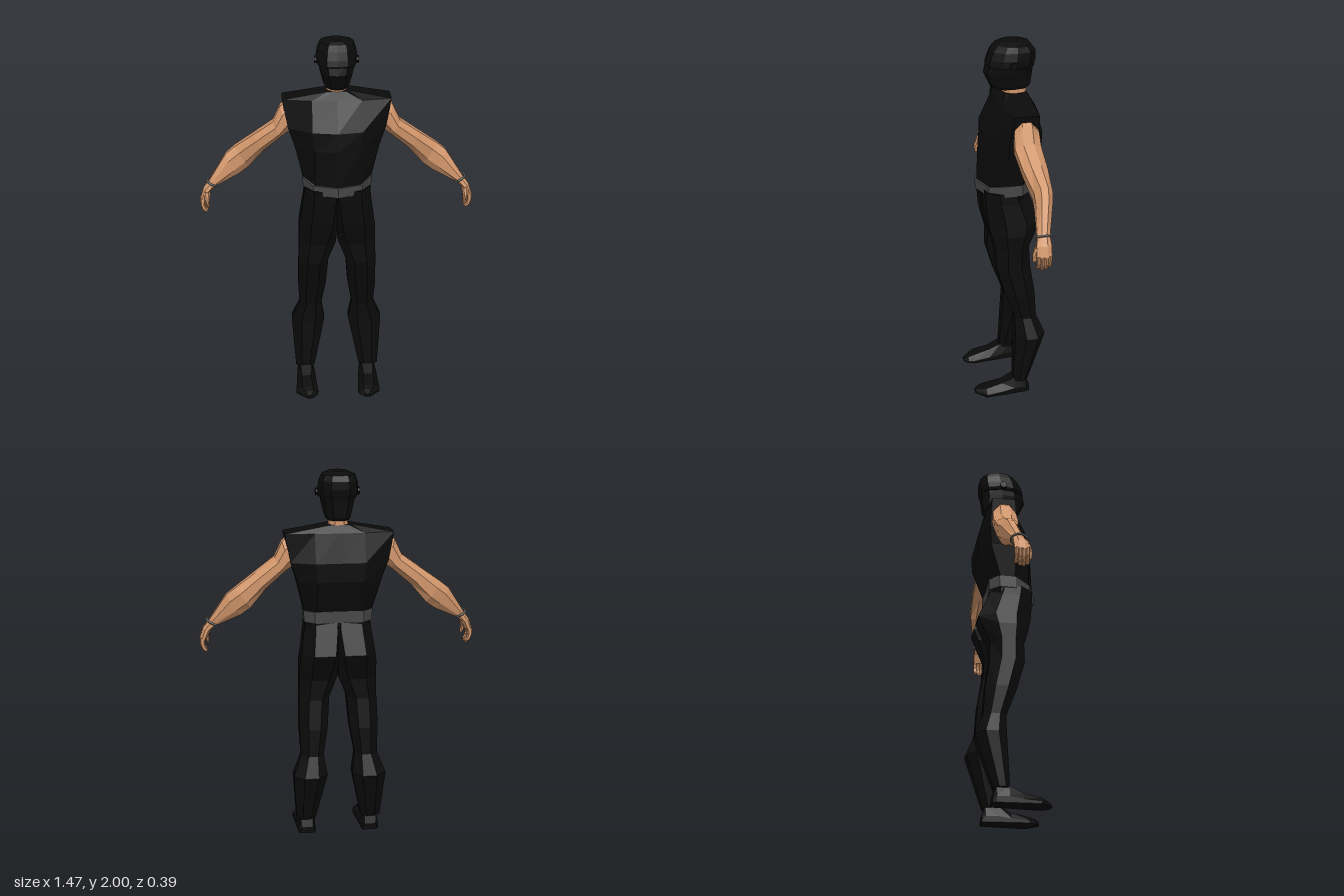
import * as THREE from 'three';

const mat = (color) => new THREE.MeshStandardMaterial({ color, flatShading: true, side: THREE.DoubleSide });
const cloth = mat(0x0b0b0b), skin = mat(0xd0956a), beltGrey = mat(0x484848), metal = mat(0x777777);

// Skin a closed solid through rings of [x, y, z] points; faces are turned outward by signed volume.
function loft(name, rings, material) {
  const n = rings[0].length, tris = [];
  const mid = (r) => [0, 1, 2].map((k) => r.reduce((s, p) => s + p[k], 0) / n);
  const first = mid(rings[0]), last = mid(rings[rings.length - 1]);
  for (let j = 0; j < n; j++) {
    const k = (j + 1) % n;
    for (let i = 0; i + 1 < rings.length; i++) {
      const a = rings[i], b = rings[i + 1];
      tris.push([a[j], a[k], b[k]], [a[j], b[k], b[j]]);
    }
    tris.push([first, rings[0][k], rings[0][j]], [last, rings[rings.length - 1][j], rings[rings.length - 1][k]]);
  }
  const V = (p) => new THREE.Vector3(...p);
  const volume = tris.reduce((s, [a, b, c]) => s + V(a).dot(V(b).cross(V(c))), 0);
  if (volume < 0) tris.forEach((t) => t.reverse());
  const geo = new THREE.BufferGeometry();
  geo.setAttribute('position', new THREE.Float32BufferAttribute(tris.flat(2), 3));
  geo.computeVertexNormals();
  const mesh = new THREE.Mesh(geo, material);
  mesh.name = name;
  return mesh;
}

// Half outline from front centre to back centre, mirrored into a full ring.
const mirrorRing = (half) => [...half, ...half.slice(1, -1).reverse().map(([x, y, z]) => [-x, y, z])];

// Level outline: depth at centre front, mid front, side front, side back, mid back, centre back.
const level = (y, xm, xs, z, drop = 0) => mirrorRing([
  [0, y - drop, z[0]], [xm, y - drop, z[1]], [xs, y, z[2]], [xs, y, z[3]], [xm, y, z[4]], [0, y, z[5]]]);

// Eight-sided limb section across a span from outer point o to inner point i, depth zb..zf.
function section(s, o, i, zb, zf, cut = 0.28, cutIn = cut) {
  const at = (t, u) => [s * (o[0] + (i[0] - o[0]) * t), o[1] + (i[1] - o[1]) * t, zb + (zf - zb) * u];
  return [at(0, 0.3), at(0, 0.7), at(cut, 1), at(1 - cutIn, 1), at(1, 0.7), at(1, 0.3), at(1 - cutIn, 0), at(cut, 0)];
}

function makeLeg(s) {
  const leg = new THREE.Group();
  leg.name = s > 0 ? 'leftLeg' : 'rightLeg';
  // y, outer x, inner x, back z, front z, inner bevel
  const rows = [
    [1.22, 0.175, 0, -0.1, 0.12, 0.05], [1.16, 0.18, 0, -0.125, 0.118, 0.05], [1.04, 0.198, 0, -0.175, 0.108, 0.12],
    [0.98, 0.207, 0, -0.15, 0.095, 0.15], [0.89, 0.208, 0.005, -0.112, 0.07, 0.25], [0.78, 0.211, 0.048, -0.115, 0.07, 0.28],
    [0.62, 0.215, 0.06, -0.14, 0.025, 0.28], [0.47, 0.208, 0.085, -0.15, -0.03, 0.28],
    [0.36, 0.253, 0.068, -0.195, -0.03, 0.28], [0.08, 0.233, 0.127, -0.1, -0.015, 0.28]];
  leg.add(loft('trouserLeg', rows.map(([y, xo, xi, zb, zf, c]) => section(s, [xo, y], [xi, y], zb, zf, 0.3, c)), cloth));

  // shoe: z, inner x, outer x, height, top inset
  const shoe = [[-0.105, 0.135, 0.215, 0.035, 0.01], [-0.085, 0.13, 0.225, 0.09, 0.015], [-0.02, 0.125, 0.228, 0.092, 0.02],
    [0.05, 0.12, 0.232, 0.06, 0.03], [0.14, 0.113, 0.236, 0.04, 0.03], [0.172, 0.122, 0.205, 0.03, 0.02], [0.198, 0.148, 0.178, 0.018, 0.006]];
  leg.add(loft('shoe', shoe.map(([z, a, b, h, t]) => [
    [s * a, 0, z], [s * b, 0, z], [s * b, h * 0.35, z], [s * (b - t), h, z], [s * (a + t), h, z], [s * a, h * 0.35, z]]), cloth));
  return leg;
}

function makeArm(s) {
  const arm = new THREE.Group();
  arm.name = s > 0 ? 'leftArm' : 'rightArm';
  const path = [
    [[0.25, 1.68], [0.2, 1.53], -0.11, -0.01], [[0.295, 1.645], [0.25, 1.51], -0.122, 0.005],
    [[0.335, 1.56], [0.285, 1.485], -0.125, 0.01], [[0.44, 1.485], [0.385, 1.4], -0.133, -0.008],
    [[0.54, 1.415], [0.465, 1.305], -0.133, -0.038], [[0.59, 1.375], [0.52, 1.265], -0.12, -0.035],
    [[0.685, 1.23], [0.645, 1.204], -0.08, -0.018]];
  arm.add(loft('bareArm', path.map((p) => section(s, ...p)), skin));

  // bracelet
  const loop = section(s, [0.692, 1.237], [0.64, 1.207], -0.087, -0.01).map((p) => new THREE.Vector3(...p));
  const bracelet = new THREE.Mesh(new THREE.TubeGeometry(new THREE.CatmullRomCurve3(loop, true), 16, 0.006, 5, true), metal);
  bracelet.name = 'bracelet';
  arm.add(bracelet);

  // palm, four curled fingers and a thumb
  const palm = [[[0.685, 1.23], [0.645, 1.204], -0.08, -0.018], [[0.715, 1.19], [0.675, 1.18], -0.082, -0.006],
    [[0.733, 1.135], [0.695, 1.135], -0.08, -0.004]];
  arm.add(loft('palm', palm.map((p) => section(s, ...p)), skin));
  for (let f = 0; f < 4; f++) {
    const z = -0.08 + f * 0.019, d = [0.012, 0.002, 0, 0.008][f];
    const finger = [[[0.733, 1.14], [0.702, 1.14]], [[0.731, 1.095 + d], [0.709, 1.1 + d]],
      [[0.719, 1.066 + d], [0.702, 1.076 + d]], [[0.699, 1.055 + d], [0.694, 1.066 + d]]];
    arm.add(loft('finger', finger.map(([o, i]) => section(s, o, i, z, z + 0.018, 0.2)), skin));
  }
  const thumb = [[[0.71, 1.18], [0.675, 1.175], -0.03, 0.0], [[0.708, 1.14], [0.682, 1.14], -0.018, 0.013], [[0.694, 1.1], [0.682, 1.102], -0.012, 0.01]];
  arm.add(loft('thumb', thumb.map((p) => section(s, ...p)), skin));
  return arm;
}

function makeHead() {
  const head = new THREE.Group();
  head.name = 'head';
  // y, half width, back z, front z
  const ring = (y, w, zb, zf) => {
    const at = (x, u) => [x * w, y, zb + (zf - zb) * u];
    return mirrorRing([at(0, 1), at(0.5, 0.95), at(0.9, 0.72), at(1, 0.45), at(0.85, 0.15), at(0.45, 0), at(0, 0)]);
  };
  head.add(loft('neck', [ring(1.7, 0.055, -0.12, 0), ring(1.8, 0.05, -0.115, 0.01)], skin));
  head.add(loft('mask', [ring(1.752, 0.06, -0.125, 0.05), ring(1.77, 0.07, -0.138, 0.07), ring(1.84, 0.088, -0.145, 0.102),
    ring(1.9, 0.098, -0.153, 0.085)], cloth));
  head.add(loft('hood', [ring(1.87, 0.1, -0.15, 0.088), ring(1.885, 0.107, -0.155, 0.094), ring(1.915, 0.107, -0.16, 0.085),
    ring(1.955, 0.1, -0.16, 0.068), ring(1.985, 0.088, -0.138, 0.042), ring(2.0, 0.05, -0.095, 0.018)], cloth));
  for (const s of [-1, 1]) {
    const ear = new THREE.Mesh(new THREE.CylinderGeometry(0.02, 0.02, 0.025, 8).rotateZ(Math.PI / 2), cloth);
    ear.name = 'earCover';
    ear.position.set(s * 0.103, 1.893, -0.035);
    head.add(ear);
  }
  return head;
}

export function createModel() {
  const figure = new THREE.Group();
  figure.name = 'figure';

  // sleeveless top with wide shoulders
  figure.add(loft('sleevelessTop', [
    level(1.18, 0.12, 0.172, [0.12, 0.1, 0.015, -0.06, -0.11, -0.105]),
    level(1.26, 0.12, 0.18, [0.143, 0.1, 0.015, -0.06, -0.11, -0.105], 0.015),
    level(1.44, 0.12, 0.222, [0.135, 0.105, 0.02, -0.12, -0.178, -0.175]),
    level(1.54, 0.13, 0.255, [0.125, 0.1, 0.02, -0.13, -0.18, -0.178]),
    level(1.69, 0.13, 0.285, [0.035, 0.03, 0.0, -0.125, -0.14, -0.14]),
    level(1.73, 0.05, 0.065, [0, 0, -0.02, -0.1, -0.118, -0.118])], cloth));

  // belt
  figure.add(loft('belt', [
    level(1.207, 0.13, 0.181, [0.15, 0.1, 0.02, -0.066, -0.116, -0.11], 0.013),
    level(1.27, 0.13, 0.185, [0.152, 0.107, 0.022, -0.068, -0.118, -0.113], 0.02)], beltGrey));

  for (const s of [-1, 1]) figure.add(makeLeg(s), makeArm(s));
  figure.add(makeHead());
  return figure;
}
